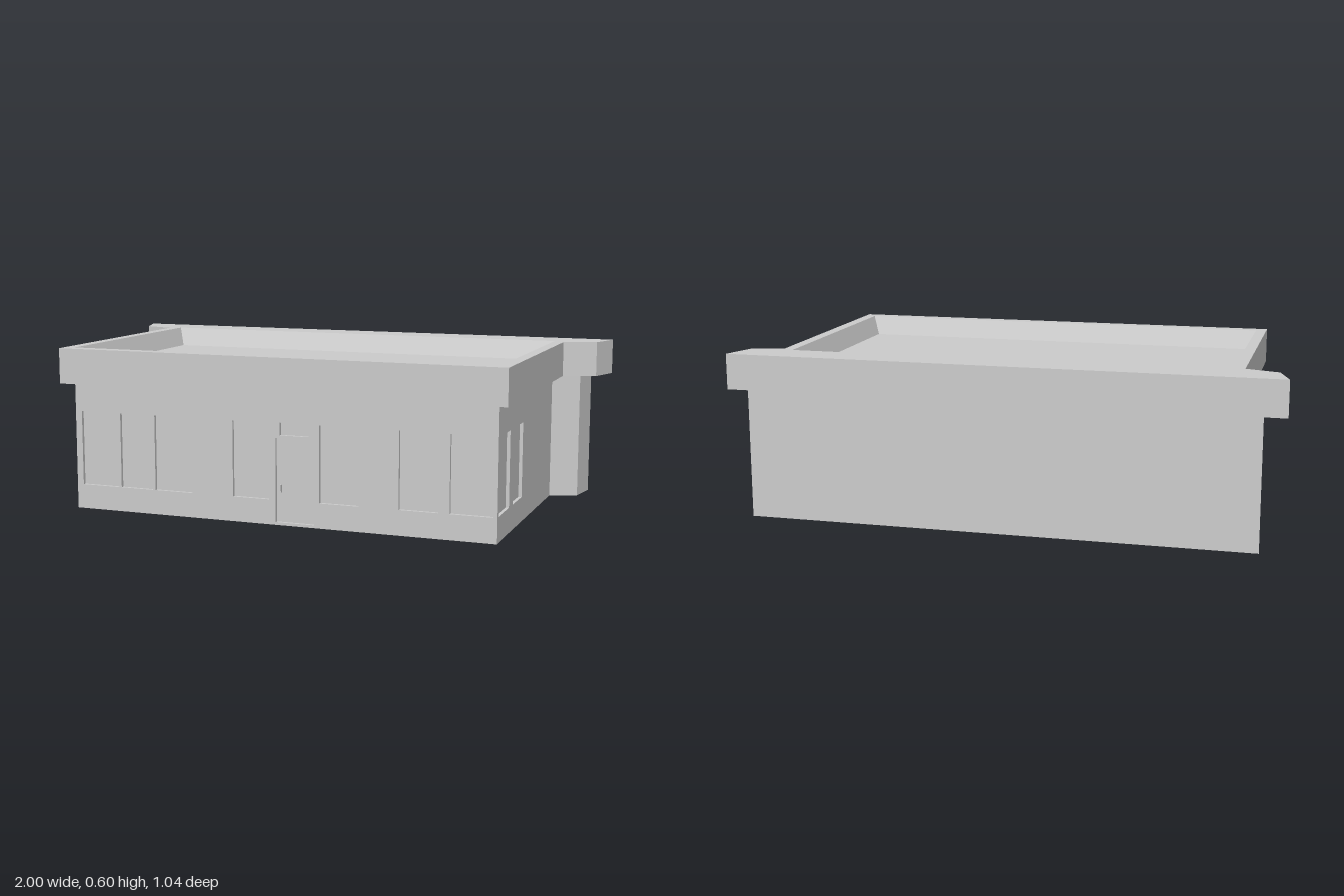
import * as THREE from 'three';

const material = new THREE.MeshStandardMaterial({ color: 0xcccccc, flatShading: true, side: THREE.DoubleSide });

function addMesh(parent, name, geometry) {
  const mesh = new THREE.Mesh(geometry, material);
  mesh.name = name;
  parent.add(mesh);
  return mesh;
}

// Skin between successive cross-sections; each is a list of [x, y, z], anticlockwise from above
function loft(loops, closed = true) {
  const positions = [];
  const n = loops[0].length;
  for (let k = 0; k < loops.length - 1; k++) {
    for (let i = 0; i < (closed ? n : n - 1); i++) {
      const j = (i + 1) % n;
      const [a, b, c, d] = [loops[k][i], loops[k][j], loops[k + 1][j], loops[k + 1][i]];
      positions.push(...a, ...b, ...c, ...a, ...c, ...d);
    }
  }
  const g = new THREE.BufferGeometry();
  g.setAttribute('position', new THREE.Float32BufferAttribute(positions, 3));
  g.computeVertexNormals();
  return g;
}

// Plan outline from its right half, mirrored to the left
function plan(half, y) {
  const right = half.map(([x, z]) => [x, y, z]);
  const left = half.map(([x, z]) => [-x, y, z]).reverse();
  return [...right, ...left];
}

// Rectangle corners at depth z in a wall's own plane
const rect = ({ x0, x1, y0, y1 }, z) => [[x0, y0, z], [x1, y0, z], [x1, y1, z], [x0, y1, z]];

const WALL_TOP = 0.47;
const DEPTH = 0.012;

// Wall panel with recessed openings
function makeWall(name, x0, x1, openings) {
  const wall = new THREE.Group();
  wall.name = name;
  const toPoints = r => rect(r, 0).map(([x, y]) => new THREE.Vector2(x, y));
  const shape = new THREE.Shape(toPoints({ x0, x1, y0: 0, y1: WALL_TOP }));
  for (const o of openings) shape.holes.push(new THREE.Path(toPoints(o).reverse()));
  addMesh(wall, name + 'Surface', new THREE.ShapeGeometry(shape));
  for (const o of openings) {
    addMesh(wall, o.name + 'Reveal', loft([rect(o, -DEPTH), rect(o, 0)]));
    const pane = addMesh(wall, o.name, new THREE.PlaneGeometry(o.x1 - o.x0, o.y1 - o.y0));
    pane.position.set((o.x0 + o.x1) / 2, (o.y0 + o.y1) / 2, -DEPTH);
  }
  return wall;
}

export function createModel() {
  const building = new THREE.Group();
  building.name = 'building';

  // Front wall: windows, door and transom
  const windows = [
    [-0.775, -0.625], [-0.615, -0.485], [-0.475, -0.325], [-0.165, -0.025],
    [0.165, 0.31], [0.455, 0.595], [0.635, 0.785],
  ].map(([x0, x1]) => ({ name: 'frontWindow', x0, x1, y0: 0.09, y1: 0.365 }));
  const front = makeWall('frontWall', -0.8, 0.8, [
    ...windows,
    { name: 'door', x0: 0, x1: 0.145, y0: 0.01, y1: 0.312 },
    { name: 'transom', x0: 0.017, x1: 0.125, y0: 0.322, y1: 0.367 },
  ]);
  front.position.z = 0.48;
  building.add(front);

  // Door handle
  const handle = addMesh(front, 'doorHandle', new THREE.BoxGeometry(0.006, 0.028, 0.01));
  handle.position.set(0.016, 0.13, -DEPTH + 0.005);

  // Side walls, mirrored, each with two windows near the front
  for (const s of [1, -1]) {
    const span = (z0, z1) => [-s * z0, -s * z1].sort((a, b) => a - b);
    const openings = [[0.31, 0.46], [0.12, 0.255]].map(([z0, z1]) => {
      const [x0, x1] = span(z0, z1);
      return { name: 'sideWindow', x0, x1, y0: 0.09, y1: 0.36 };
    });
    const side = makeWall(s > 0 ? 'leftWall' : 'rightWall', ...span(-0.36, 0.48), openings);
    side.rotation.y = s * Math.PI / 2;
    side.position.x = s * 0.8;
    building.add(side);
  }

  // Back wall with its flared wings
  const wing = [[0.8, -0.36], [0.9, -0.4], [0.92, -0.52]];
  addMesh(building, 'backWall', loft([plan(wing, 0), plan(wing, WALL_TOP)], false));

  // Overhanging roof band, parapet top and sloped inner faces
  const wallPlan = [[0.8, 0.48], ...wing];
  const bandPlan = [[0.84, 0.52], [0.84, -0.36], [0.96, -0.4], [1, -0.52]];
  const innerPlan = (x, z0, z1) => [[x, z1], [x, z0], [x, z0], [x, z0]];
  addMesh(building, 'roofBand', loft([
    plan(wallPlan, WALL_TOP),
    plan(bandPlan, WALL_TOP),
    plan(bandPlan, 0.6),
    plan(innerPlan(0.8, -0.387, 0.475), 0.6),
    plan(innerPlan(0.77, -0.35, 0.44), 0.53),
  ]));

  // Sunken flat roof
  const roof = addMesh(building, 'flatRoof', new THREE.PlaneGeometry(1.54, 0.79));
  roof.rotation.x = -Math.PI / 2;
  roof.position.set(0, 0.53, 0.045);

  return building;
}
